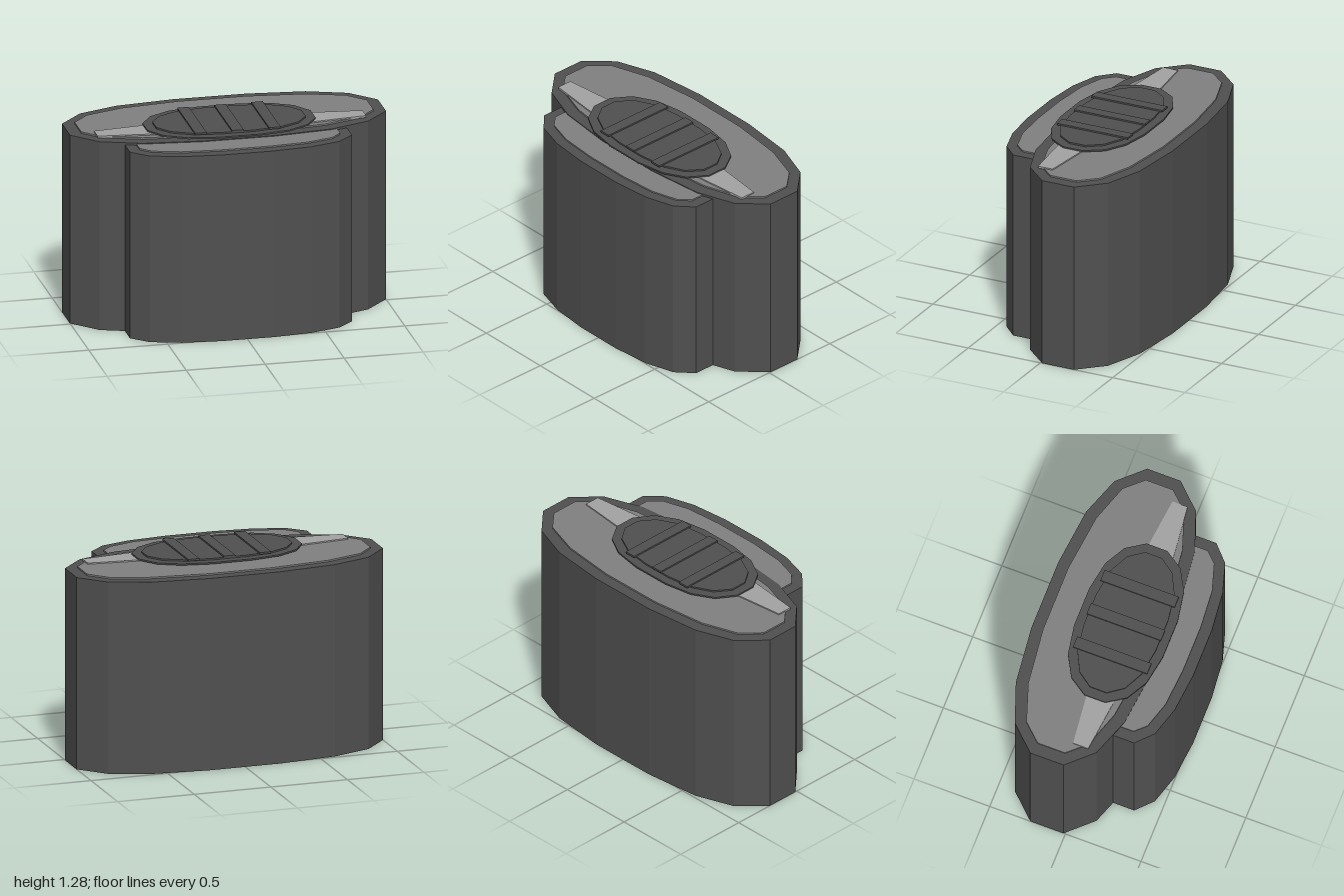
import * as THREE from 'three';

const mat = (name, color) => {
  const m = new THREE.MeshStandardMaterial({ color });
  m.name = name;
  return m;
};

export function createModel() {
  const group = new THREE.Group();
  const dark = mat('dark grey', 0x505050);
  const mid = mat('mid grey', 0x808080);
  const light = mat('light grey', 0xa3a3a3);

  // Upright prism whose outline is one quadrant mirrored about x and z = zc
  const slab = (name, quadrant, zc, y0, y1, material) => {
    const back = quadrant.map(([x, z]) => [x, z]);
    const mirror = (pts, sx, sz) => pts.map(([x, z]) => [x * sx, z * sz]);
    const reversed = [...back].reverse();
    const outline = [
      ...reversed,
      ...mirror(back, -1, 1),
      ...mirror(reversed, -1, -1),
      ...mirror(back, 1, -1),
    ].map(([x, z]) => new THREE.Vector2(x, z));
    const geo = new THREE.ExtrudeGeometry(new THREE.Shape(outline), { depth: y1 - y0, bevelEnabled: false });
    geo.rotateX(-Math.PI / 2);
    const mesh = new THREE.Mesh(geo, material);
    mesh.name = name;
    mesh.position.set(0, y0, zc);
    group.add(mesh);
  };

  // Main body and the smaller body in front, each with an inset top plate
  slab('mainBody', [[0.23, 0.4], [0.6, 0.36], [0.85, 0.27], [1, 0.11]], -0.122, 0, 1.23, dark);
  slab('mainTopPlate', [[0.215, 0.328], [0.58, 0.286], [0.82, 0.205], [0.925, 0.09]], -0.122, 1.229, 1.24, mid);
  slab('frontBody', [[0.16, 0.25], [0.41, 0.225], [0.6, 0.168], [0.703, 0.07]], 0.27, 0, 1.216, dark);
  slab('frontTopPlate', [[0.155, 0.18], [0.4, 0.16], [0.57, 0.108], [0.635, 0.04]], 0.27, 1.215, 1.225, mid);

  // Tapered light bar under the cap
  slab('crossBar', [[0.3, 0.1], [0.53, 0.085], [0.85, 0.05]], 0.043, 1.235, 1.248, light);

  // Cap: rim, raised disc and three ribs
  slab('capRim', [[0.13, 0.293], [0.32, 0.26], [0.455, 0.185], [0.532, 0.068]], 0.014, 1.247, 1.257, dark);
  slab('capDisc', [[0.105, 0.238], [0.28, 0.213], [0.405, 0.15], [0.473, 0.055]], 0.014, 1.256, 1.267, dark);
  for (const x of [-0.234, 0, 0.234]) {
    const rib = new THREE.Mesh(new THREE.BoxGeometry(0.073, 0.012, 0.49), dark);
    rib.name = 'capRib';
    rib.position.set(x, 1.271, 0.014);
    group.add(rib);
  }
  return group;
}
